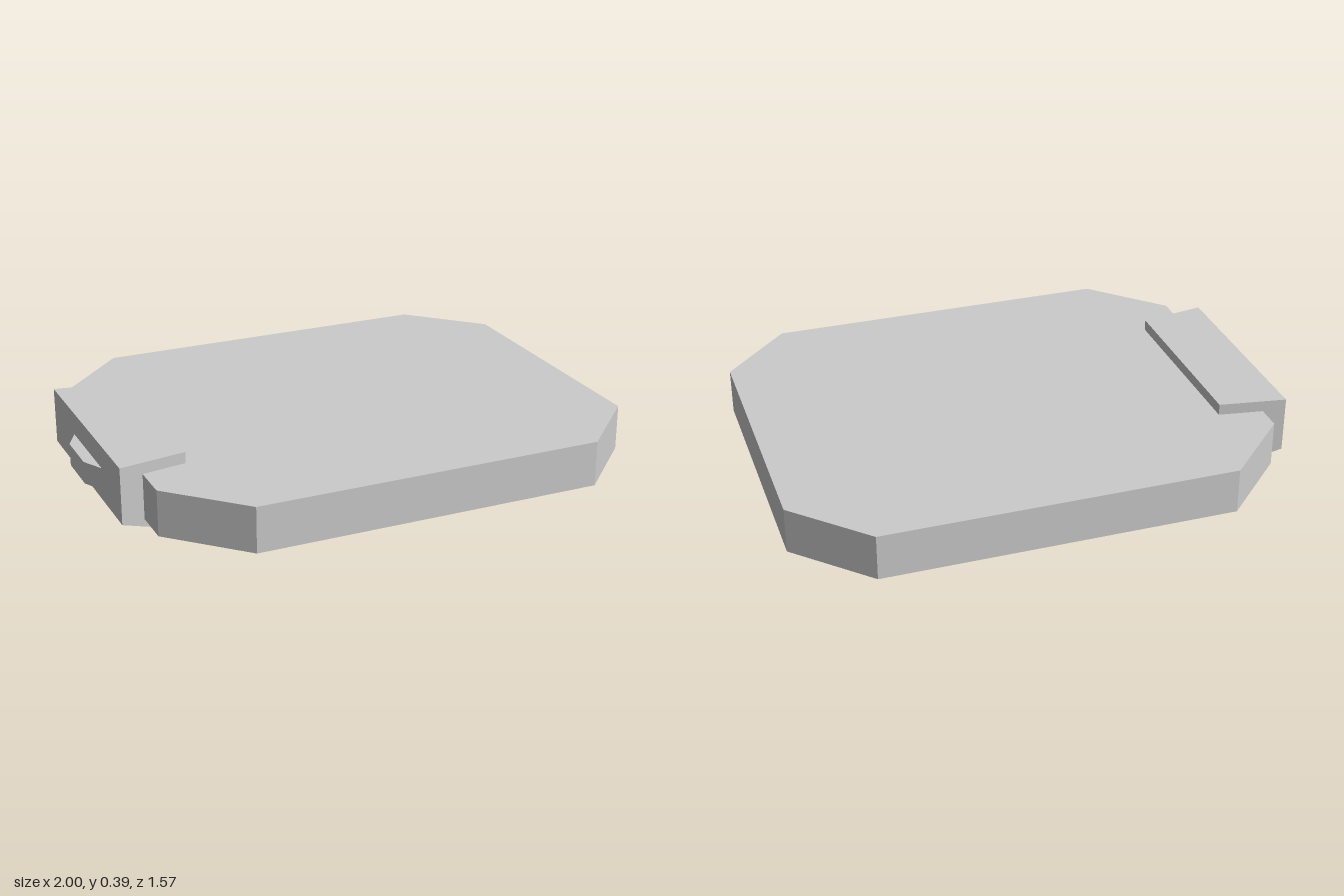
import * as THREE from 'three';

const material = new THREE.MeshStandardMaterial({ color: 0xcccccc, flatShading: true });

function part(name, geometry) {
  const mesh = new THREE.Mesh(geometry, material);
  mesh.name = name;
  return mesh;
}

// Rectangle with cut corners, as a ring of eight points
function octagonRing(cx, y, hx, hz, cut) {
  return [
    [hx, -hz + cut], [hx, hz - cut], [hx - cut, hz], [-hx + cut, hz],
    [-hx, hz - cut], [-hx, -hz + cut], [-hx + cut, -hz], [hx - cut, -hz],
  ].map(([x, z]) => [cx + x, y, z]);
}

// Closed solid through rings listed from top to bottom
function loft(rings) {
  const n = rings[0].length;
  const points = rings.flat();
  const index = [];
  for (let r = 0; r < rings.length - 1; r++) {
    for (let i = 0; i < n; i++) {
      const a = r * n + i, b = r * n + (i + 1) % n;
      index.push(a, b, a + n, b, b + n, a + n);
    }
  }
  const last = (rings.length - 1) * n;
  for (let i = 1; i < n - 1; i++) {
    index.push(0, i + 1, i);
    index.push(last, last + i, last + i + 1);
  }
  const geometry = new THREE.BufferGeometry();
  geometry.setAttribute('position', new THREE.Float32BufferAttribute(points.flat(), 3));
  geometry.setIndex(index);
  const flat = geometry.toNonIndexed();
  flat.computeVertexNormals();
  return flat;
}

// Block between two x stations, each with its own height range and half width
function taperedBlock(outer, inner, cz) {
  const geometry = new THREE.BoxGeometry(1, 1, 1);
  const p = geometry.attributes.position;
  for (let i = 0; i < p.count; i++) {
    const s = p.getX(i) < 0 ? outer : inner;
    p.setXYZ(i, s.x, p.getY(i) < 0 ? s.bottom : s.top, cz + Math.sign(p.getZ(i)) * s.halfWidth);
  }
  geometry.computeVertexNormals();
  return geometry;
}

export function createModel() {
  const model = new THREE.Group();
  model.name = 'plate';

  // Slab with cut corners and a bevelled underside
  model.add(part('body', loft([
    octagonRing(0.065, 0.354, 0.935, 0.784, 0.262),
    octagonRing(0.065, 0.179, 0.935, 0.784, 0.262),
    octagonRing(0.065, 0.093, 0.675, 0.522, 0.09),
  ])));

  // Shallow eight-sided point under the slab
  const point = new THREE.ConeGeometry(0.345 / Math.cos(Math.PI / 8), 0.087, 8, 1, true);
  point.rotateX(Math.PI).rotateY(Math.PI / 8).translate(0.043, 0.0495, 0);
  model.add(part('bottomPoint', point));

  // Clasp wrapped over the edge
  model.add(part('clasp', taperedBlock(
    { x: -0.957, bottom: 0.179, top: 0.397, halfWidth: 0.412 },
    { x: -0.7, bottom: 0.093, top: 0.397, halfWidth: 0.37 },
    -0.025,
  )));

  // Small tab on the clasp
  model.add(part('tab', taperedBlock(
    { x: -1, bottom: 0.222, top: 0.308, halfWidth: 0.09 },
    { x: -0.955, bottom: 0.222, top: 0.308, halfWidth: 0.175 },
    -0.004,
  )));

  return model;
}
